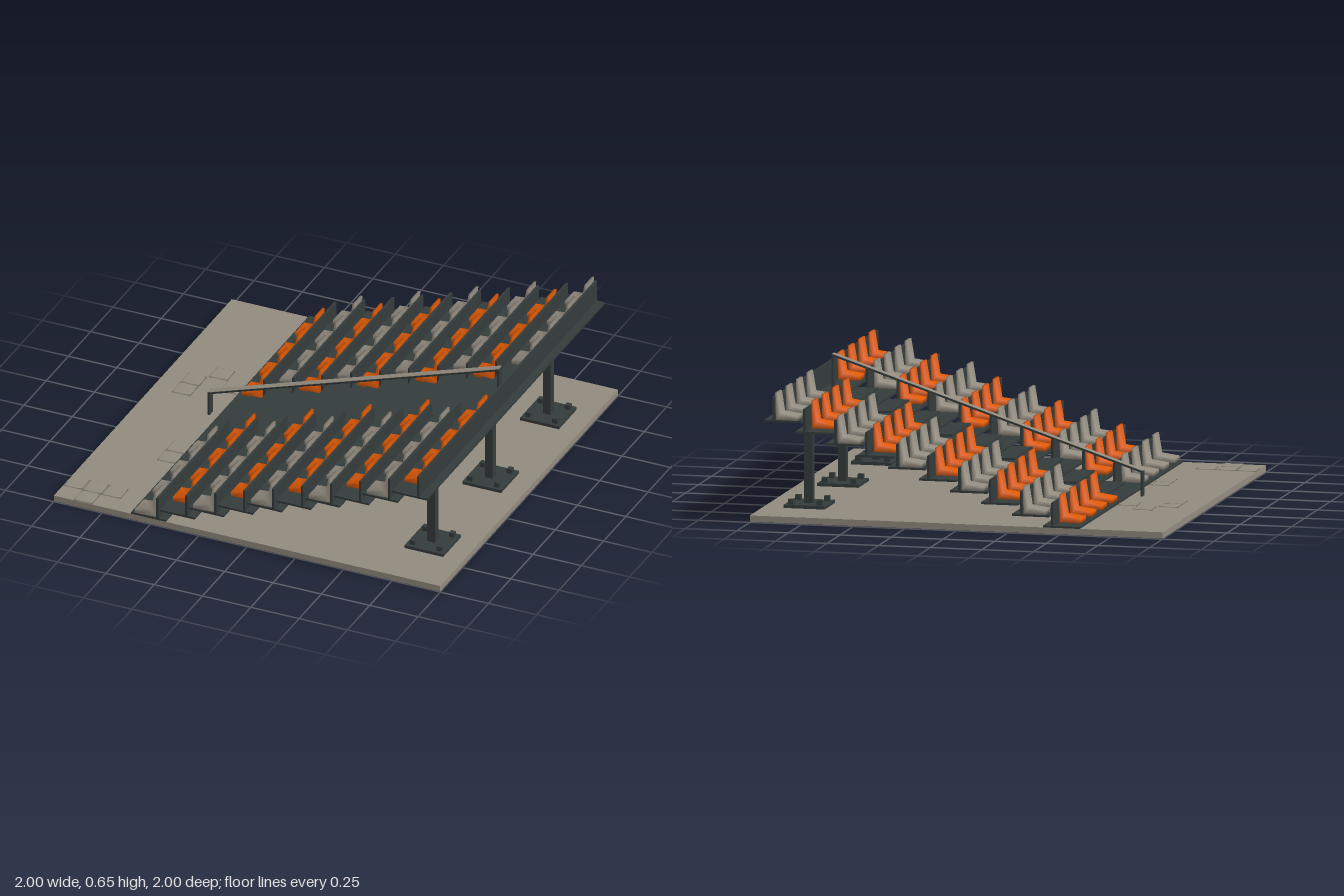
import * as THREE from 'three';
import { mergeVertices } from 'three/addons/utils/BufferGeometryUtils.js';

const paint = (name, color) => {
  const m = new THREE.MeshStandardMaterial({ color });
  m.name = name;
  return m;
};

// Box given by its lower and upper bounds on each axis
function block(name, mat, [x0, x1], [y0, y1], [z0, z1]) {
  const g = new THREE.BoxGeometry(x1 - x0, y1 - y0, z1 - z0);
  g.translate((x0 + x1) / 2, (y0 + y1) / 2, (z0 + z1) / 2);
  const mesh = new THREE.Mesh(g, mat);
  mesh.name = name;
  return mesh;
}

// Softly shaded solid: side profile in x and y, with a half-width for each profile point
function profileSolid(points, halfWidth) {
  const shape = new THREE.Shape(points.map(([x, y]) => new THREE.Vector2(x, y)));
  let g = new THREE.ExtrudeGeometry(shape, { depth: 2, bevelEnabled: false });
  const p = g.attributes.position;
  for (let i = 0; i < p.count; i++) p.setZ(i, (p.getZ(i) - 1) * halfWidth(p.getX(i), p.getY(i)));
  g.deleteAttribute('normal');
  g.deleteAttribute('uv');
  g = mergeVertices(g);
  g.computeVertexNormals();
  return g;
}

export function createModel() {
  const model = new THREE.Group();
  model.name = 'grandstand';
  const steel = paint('dark steel', 0x343b3b);
  const concrete = paint('warm concrete grey', 0x918a7e);
  const orange = paint('orange', 0xde5906);

  // Ground slab with a few slightly raised paving stones
  const ground = 0.033, slabBottom = 0.003;
  model.add(block('groundSlab', concrete, [-1, 1], [slabBottom, ground], [-1, 1]));
  const stone = profileSolid([[-0.05, 0], [0.05, 0], [0.043, 0.004], [-0.043, 0.004]], (x, y) => (y > 0.002 ? 0.043 : 0.05));
  const stones = [[-0.75, -0.35], [-0.85, -0.25], [-0.85, -0.15], [-0.65, -0.25], [-0.65, 0.35],
    [-0.65, 0.45], [-0.95, 0.85], [-0.85, 0.85], [-0.75, 0.85], [-0.85, 0.95]];
  for (const [x, z] of stones) {
    const m = new THREE.Mesh(stone, concrete);
    m.name = 'pavingStone';
    m.position.set(x, ground, z);
    model.add(m);
  }

  // Seat: wedge cushion narrowing to the rear, running into a leaning backrest
  const seatShell = profileSolid(
    [[0.02, 0], [0.126, 0], [0.129, 0.13], [0.118, 0.13], [0.101, 0.034], [0.02, 0.021]],
    (x, y) => (y > 0.1 ? 0.043 : x > 0.05 ? 0.04 : 0.05));

  // Ten rising rows
  const rows = 10;
  for (let i = 0; i < rows; i++) {
    const row = new THREE.Group();
    row.name = 'row' + (i + 1);
    const x = -0.6 + 0.15 * i, y = 0.042 + 0.05 * i;
    row.add(block('rowTread', steel, [x, x + 0.18], [y - 0.01, y], [-1, 1]));

    // Panels behind the seats leave the aisle open, except on the last row
    const px = [x + 0.13, x + 0.141], py = [y - 0.005, y + 0.109];
    if (i === rows - 1) row.add(block('rearPanel', steel, px, py, [-1, 1]));
    else for (const z of [[-1, -0.2], [0.2, 1]]) row.add(block('backPanel', steel, px, py, z));

    // Half-height aisle step running in under the next row
    if (i < rows - 1) row.add(block('aisleStep', steel, [x + 0.075, x + 0.255], [y + 0.015, y + 0.025], [-0.175, 0.175]));

    // Orange seats swap sides of the aisle from row to row
    for (const side of [-1, 1]) {
      const isOrange = (i % 2 === 0) === (side < 0);
      for (let k = 0; k < 4; k++) {
        const seat = new THREE.Mesh(seatShell, isOrange ? orange : concrete);
        seat.name = 'seat';
        seat.position.set(x, y, side * ((isOrange ? 0.25 : 0.35) + 0.2 * k));
        row.add(seat);
      }
    }
    model.add(row);
  }

  // Rear support columns with bolted base plates
  for (const z of [-0.65, 0, 0.65]) {
    const c = new THREE.Group();
    c.name = 'supportColumn';
    c.add(block('column', steel, [0.78, 0.82], [ground, 0.485], [z - 0.02, z + 0.02]));
    c.add(block('basePlate', steel, [0.7, 0.9], [ground, 0.048], [z - 0.1, z + 0.1]));
    for (const s of [-1, 1]) {
      for (const dz of [-0.07, 0.07])
        c.add(block('bolt', steel, [0.8 + s * 0.07 - 0.013, 0.8 + s * 0.07 + 0.013], [0.048, 0.072], [z + dz - 0.013, z + dz + 0.013]));
      // Footing frame under the slab
      const fx = 0.8 + s * 0.085, fz = z + s * 0.085;
      c.add(block('footingFrame', concrete, [fx - 0.015, fx + 0.015], [0, slabBottom], [z - 0.1, z + 0.1]));
      c.add(block('footingFrame', concrete, [0.73, 0.87], [0, slabBottom], [fz - 0.015, fz + 0.015]));
    }
    model.add(c);
  }

  // Central handrail
  const rail = new THREE.Group();
  rail.name = 'handrail';
  const a = new THREE.Vector2(-0.655, 0.15), b = new THREE.Vector2(0.85, 0.648);
  const half = a.distanceTo(b) / 2;
  const bar = new THREE.Group();
  bar.name = 'slopingRail';
  bar.add(block('railBar', steel, [-half, half], [-0.005, 0.004], [-0.019, 0.019]));
  bar.add(block('railTop', concrete, [-half, half], [0.004, 0.006], [-0.019, 0.019]));
  bar.position.set((a.x + b.x) / 2, (a.y + b.y) / 2, 0);
  bar.rotation.z = Math.atan2(b.y - a.y, b.x - a.x);
  rail.add(bar);
  rail.add(block('lowerPost', steel, [-0.656, -0.646], [ground, 0.15], [-0.018, 0.018]));
  rail.add(block('upperPost', steel, [0.841, 0.851], [0.49, 0.646], [-0.018, 0.018]));
  model.add(rail);

  return model;
}
